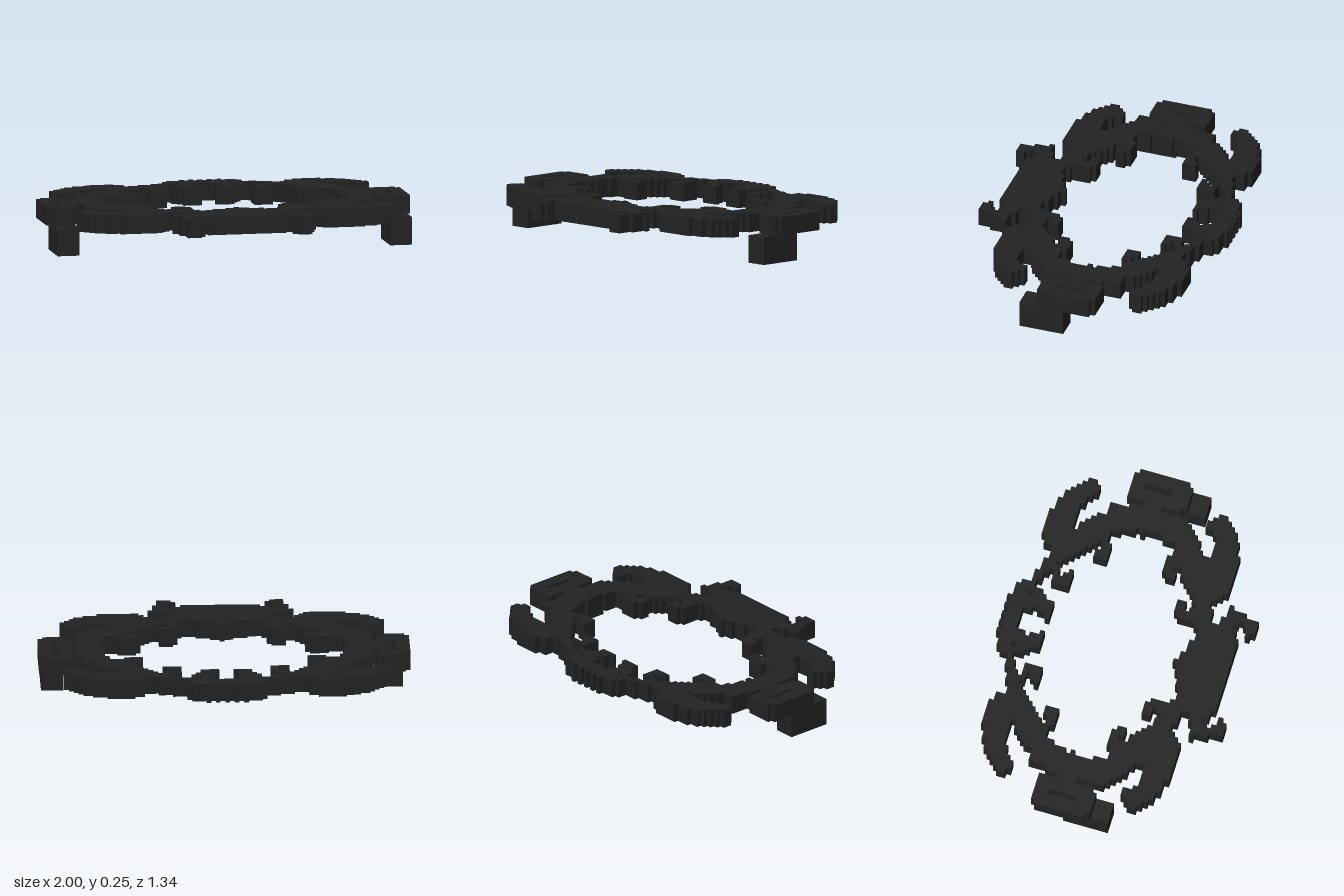
import * as THREE from 'three';

const CELL = 2 / 79;          // size of one square step of the frame
const COLS = 39, ROWS = 26;   // half counts, with a middle cell at zero
const BOTTOM = 0.15, TOP = 0.25;

// Right-hand outlines as [x, z] in hundredths; each one is mirrored in x.
const outlines = {
  sidePlate: [
    [[86, -22.5], [96, -22.5], [100, -19], [100, 7], [96, 10.5], [86, 10.5], [82, 7], [82, -1.5], [76, -1.5],
      [76, -12], [82, -12], [82, -19]],
  ],
  backCrest: [
    [[0, -65.5], [14, -65.5], [21, -63], [22, -58], [14, -57], [14, -54], [20, -53], [20, -49], [16, -48],
      [14, -43], [3.5, -43], [6, -47], [8, -50], [6, -56], [3, -58], [0, -58]],
  ],
  backBand: [
    [[16, -60], [26, -57], [34, -54], [44, -51], [44, -46], [33, -46], [30, -50], [24, -54], [16, -56]],
    [[35, -49], [30, -48], [25, -47], [23, -43], [23, -39], [27, -35.5], [32, -35.5], [35, -38], [32, -40.5],
      [29, -41], [30, -44], [34, -45]],
  ],
  sideRing: [
    [[43, -53], [46, -57], [54, -59.5], [67, -58], [75, -54], [81, -50], [87, -44], [87, -40], [82, -37],
      [77, -40], [73, -43], [64, -44], [58, -43], [62, -41], [67, -36], [71, -30], [77, -28], [77, -20],
      [79, -18], [79, 13], [77, 16], [72, 20], [66, 16], [64, 11], [66, 7], [66, -14], [64, -19], [61, -24],
      [58, -26], [53, -28], [50, -33], [42, -41], [36, -45], [40, -48], [46, -50]],
    [[58, -30], [52, -26], [49, -27], [48, -29.5], [45, -29.5], [43, -26], [45, -21.5], [52, -21.5],
      [56, -24], [62, -24]],
  ],
  frontWing: [
    [[66, 10], [77, 16], [72, 21], [66, 24], [61, 27], [62, 30], [67, 32], [74, 31], [77, 28], [78, 25],
      [82, 25], [84, 27], [87, 31], [86, 35], [80, 40], [72, 44], [64, 46.5], [45, 46.5], [42, 42], [38, 39],
      [20, 46], [18, 40], [23, 35], [30, 32], [38, 28], [42, 24], [48, 20], [53, 16], [50, 14], [45, 18],
      [43, 14], [45, 12], [47, 8], [56, 8], [60, 12]],
    [[35, 24], [32, 22], [27, 22], [23, 27], [23, 32], [30, 35], [36, 33], [30, 29], [30, 27], [34, 28]],
  ],
  frontOrnament: [
    [[0, 29], [3, 31], [8, 35], [20, 36], [21, 40], [26, 44], [30, 48], [35, 49], [40, 48], [38, 51],
      [37, 60], [33, 61], [34, 67], [29, 67], [25, 64], [25, 61], [30, 61], [31, 57], [29, 54], [25, 56],
      [21, 59], [0, 59]],
  ],
};

function inside(poly, x, z) {
  let hit = false;
  poly.forEach(([ax, az], i) => {
    const [bx, bz] = poly[(i + 1) % poly.length];
    if ((az > z) !== (bz > z) && x < ax + (z - az) * (bx - ax) / (bz - az)) hit = !hit;
  });
  return hit;
}

// The part that fills a cell, or undefined where the frame is open
function partAt(c, r) {
  const a = Math.abs(c);
  if (r === -ROWS && a <= 4 && a % 2 === 0) return 'backCrest';          // crest teeth
  if (a === 26 && [-7, -5, -3, 2].includes(r)) return 'sideRing';        // small inner teeth
  const x = a * CELL * 100, z = r * CELL * 100;
  if (a === 36 && z > -14.5 && z < 1.5) return undefined;                // slot in side plate
  return Object.keys(outlines).find((name) => outlines[name].some((p) => inside(p, x + 0.01, z + 0.01)));
}

// Stepped slab: lid and base for each cell, walls only beside open cells
function slab(cells, filled) {
  const pos = [];
  const quad = (a, b, c, d) => pos.push(...a, ...b, ...c, ...a, ...c, ...d);
  const h = CELL / 2;
  for (const [c, r] of cells) {
    const x = c * CELL, z = r * CELL;
    const ring = (y) => [[x - h, y, z + h], [x + h, y, z + h], [x + h, y, z - h], [x - h, y, z - h]];
    quad(...ring(TOP));
    quad(...ring(BOTTOM).reverse());
    for (const [dx, dz] of [[1, 0], [-1, 0], [0, 1], [0, -1]]) {
      if (filled.has(`${c + dx},${r + dz}`)) continue;
      const at = (s, y) => [x + (dx + s * dz) * h, y, z + (dz - s * dx) * h];
      quad(at(-1, BOTTOM), at(1, BOTTOM), at(1, TOP), at(-1, TOP));
    }
  }
  const geo = new THREE.BufferGeometry();
  geo.setAttribute('position', new THREE.Float32BufferAttribute(pos, 3));
  geo.computeVertexNormals();
  return geo;
}

export function createModel() {
  const model = new THREE.Group();
  model.name = 'ornateFrame';
  const black = new THREE.MeshStandardMaterial({ color: 0x222222 });
  black.name = 'black';

  const add = (name, geo) => {
    const mesh = new THREE.Mesh(geo, black);
    mesh.name = name;
    model.add(mesh);
    return mesh;
  };

  // Sort the cells into parts
  const filled = new Set();
  const parts = {};
  for (let r = -ROWS; r <= ROWS; r++) {
    for (let c = -COLS; c <= COLS; c++) {
      const name = partAt(c, r);
      if (!name) continue;
      filled.add(`${c},${r}`);
      (parts[name] ??= []).push([c, r]);
    }
  }
  for (const name in parts) add(name, slab(parts[name], filled));

  // Two block feet under the side plates
  for (const [name, x] of [['rightFoot', -0.903], ['leftFoot', 0.925]]) {
    add(name, new THREE.BoxGeometry(0.12, BOTTOM, 0.25)).position.set(x, BOTTOM / 2, 0.087);
  }
  return model;
}
